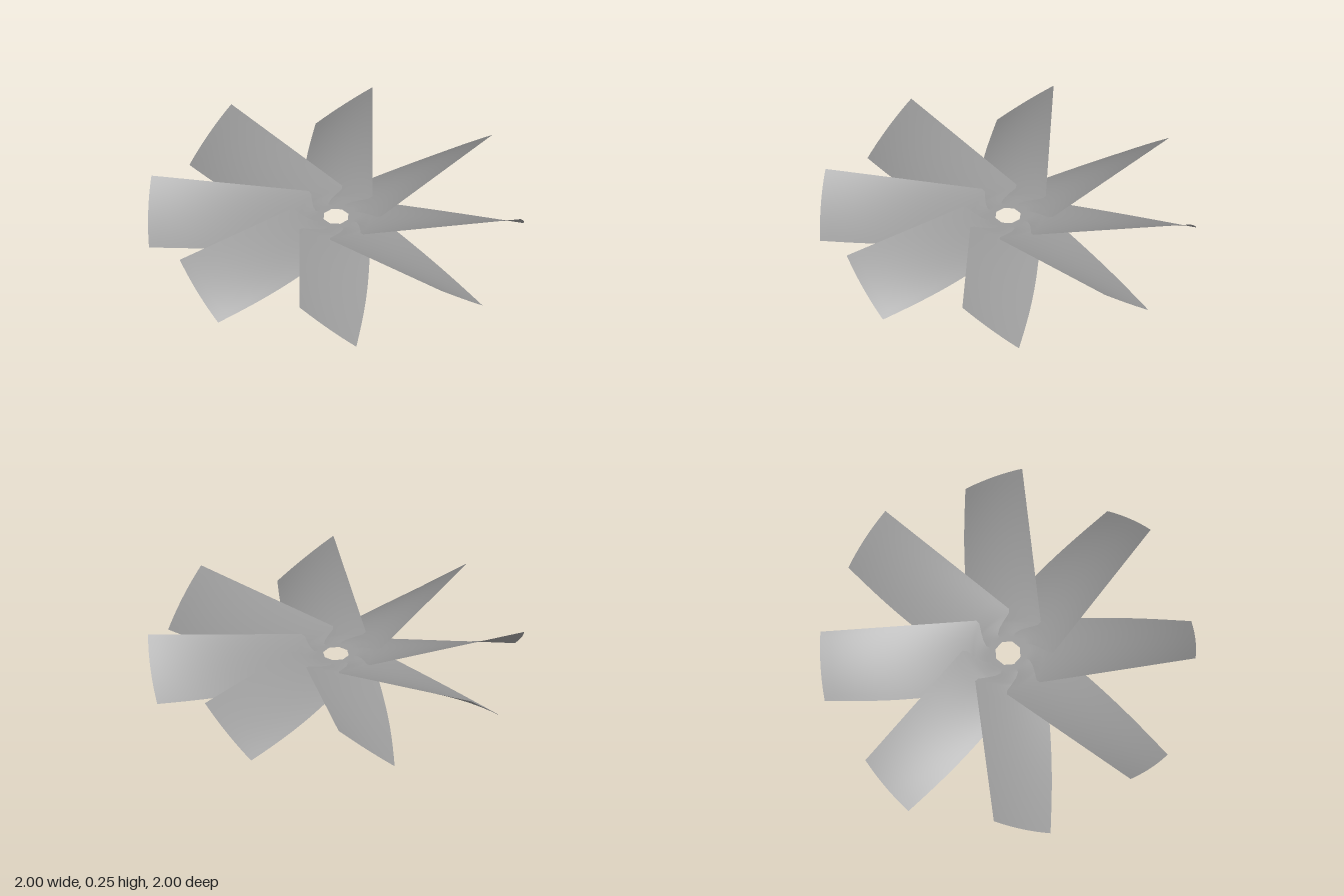
import * as THREE from 'three';

const BLADES = 8;
const ACROSS = 12; // divisions over the chord
const ALONG = 14; // divisions from blade root to tip
const FIRST_ANGLE = THREE.MathUtils.degToRad(-14.9);

// Stations from the hub hole outward:
// [x, upper edge z, upper edge y, lower edge z, lower edge y, bulge of the middle]
const ROOT = [
  [0.065, 0.027, 0.125, -0.027, 0.125, 0],
  [0.09, 0.0373, 0.125, -0.0373, 0.125, 0.004],
  [0.111, 0.046, 0.125, -0.046, 0.125, 0.01],
  [0.126, 0.08, 0.13, -0.08, 0.12, 0.02],
  [0.135, 0.13, 0.138, -0.13, 0.112, 0.035],
  [0.14, 0.17, 0.145, -0.17, 0.105, 0.045],
  [0.155, 0.188, 0.15, -0.19, 0.096, 0.05],
];
const TIP = [0.994, 0.152, 0.252, -0.152, 0, 0.011];

// Twisted blade: straight chords swept between the two edges
function bladeGeometry() {
  const stations = [...ROOT];
  const corner = ROOT[ROOT.length - 1];
  for (let i = 1; i <= ALONG; i++) {
    const t = i / ALONG;
    const row = corner.map((a, k) => THREE.MathUtils.lerp(a, TIP[k], t));
    row[3] -= 0.018 * Math.sin(Math.PI * t); // lower edge bows out
    row[4] -= 0.01 * Math.sin(Math.PI * t); // and sags slightly
    stations.push(row);
  }

  const positions = [];
  const index = [];
  const n = ACROSS + 1;
  stations.forEach(([x, zHigh, yHigh, zLow, yLow, bulge], i) => {
    for (let j = 0; j <= ACROSS; j++) {
      const t = j / ACROSS;
      const v = 2 * t - 1;
      positions.push(
        x + bulge * (1 - v * v),
        THREE.MathUtils.lerp(yLow, yHigh, t),
        THREE.MathUtils.lerp(zLow, zHigh, t)
      );
      if (i < stations.length - 1 && j < ACROSS) {
        const a = i * n + j;
        index.push(a, a + 1, a + n, a + 1, a + n + 1, a + n);
      }
    }
  });

  const geometry = new THREE.BufferGeometry();
  geometry.setAttribute('position', new THREE.Float32BufferAttribute(positions, 3));
  geometry.setIndex(index);
  geometry.computeVertexNormals();
  return geometry;
}

export function createModel() {
  const group = new THREE.Group();
  group.name = 'fanRotor';
  const material = new THREE.MeshStandardMaterial({ color: 0x9a9a9a, side: THREE.DoubleSide });
  const geometry = bladeGeometry();

  // Blades join along shared edges in a flat ring around the octagonal hub hole
  for (let i = 0; i < BLADES; i++) {
    const blade = new THREE.Mesh(geometry, material);
    blade.name = `blade${i + 1}`;
    blade.rotation.y = -(FIRST_ANGLE + (i * Math.PI * 2) / BLADES);
    group.add(blade);
  }
  return group;
}
